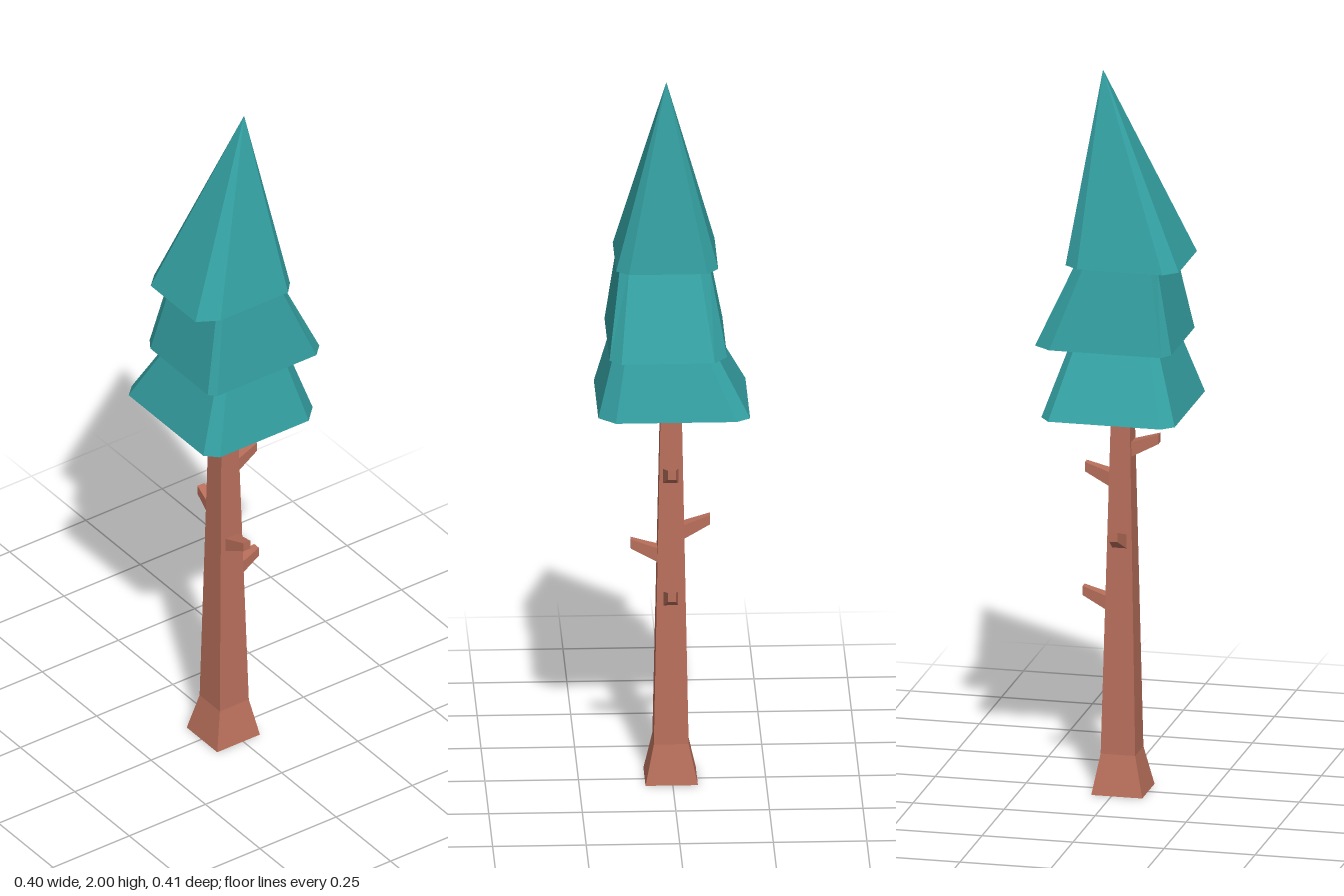
import * as THREE from 'three';

// Skin equal-length rings of [x, y, z] (counter-clockwise seen from the last ring) and cap both ends
function loft(rings) {
  const n = rings[0].length;
  const pos = [];
  const tri = (a, b, c) => pos.push(...a, ...b, ...c);
  for (let r = 0; r < rings.length - 1; r++) {
    const a = rings[r], b = rings[r + 1];
    for (let i = 0; i < n; i++) {
      const j = (i + 1) % n;
      tri(a[i], a[j], b[j]);
      tri(a[i], b[j], b[i]);
    }
  }
  const first = rings[0], last = rings[rings.length - 1];
  for (let i = 1; i < n - 1; i++) {
    tri(first[0], first[i + 1], first[i]);
    tri(last[0], last[i], last[i + 1]);
  }
  const geo = new THREE.BufferGeometry();
  geo.setAttribute('position', new THREE.Float32BufferAttribute(pos, 3));
  geo.computeVertexNormals();
  return geo;
}

// Horizontal rectangle
const rect = (y, x0, x1, z0, z1) => [[x0, y, z0], [x0, y, z1], [x1, y, z1], [x1, y, z0]];

// Remap an outline from its own bounds to new x / z bounds at height y
function fitOutline(outline, y, x0, x1, z0, z1) {
  const xs = outline.map(p => p[0]), zs = outline.map(p => p[1]);
  const map = THREE.MathUtils.mapLinear;
  return outline.map(([x, z]) => [
    map(x, Math.min(...xs), Math.max(...xs), x0, x1), y,
    map(z, Math.min(...zs), Math.max(...zs), z0, z1)]);
}

export function createModel() {
  const tree = new THREE.Group();
  tree.name = 'pineTree';
  const bark = new THREE.MeshStandardMaterial({ color: 0xb96f5b, flatShading: true });
  const needles = new THREE.MeshStandardMaterial({ color: 0x34a0a2, flatShading: true });

  const add = (name, geo, mat) => {
    const mesh = new THREE.Mesh(geo, mat);
    mesh.name = name;
    tree.add(mesh);
    return mesh;
  };

  // Square trunk with a flared foot
  add('trunk', loft([
    rect(0, -0.085, 0.055, -0.067, 0.073),
    rect(0.11, -0.06, 0.035, -0.043, 0.05),
    rect(1.09, -0.04, 0.01, -0.025, 0.03),
  ]), bark);

  // Tapered branch stubs: angle about the trunk, root height, tip reach, tip height
  const cx = -0.014, cz = 0.004;
  const section = (x, y, h, w) => [[x, y - h, w], [x, y - h, -w], [x, y + h, -w], [x, y + h, w]];
  const stubs = [
    [0, 0.51, 0.107, 0.55],
    [0, 0.86, 0.101, 0.896],
    [Math.PI, 0.948, 0.101, 0.986],
    [-Math.PI / 2, 0.628, 0.106, 0.668],
    [Math.PI / 2, 0.692, 0.106, 0.734],
  ];
  stubs.forEach(([angle, y0, reach, y1], i) => {
    const geo = loft([section(0.01, y0, 0.022, 0.023), section(reach, y1, 0.013, 0.011)]);
    const stub = add('branch' + (i + 1), geo, bark);
    stub.position.set(cx, 0, cz);
    stub.rotation.y = angle;
  });

  // Foliage tiers: chamfered [x, z] outlines, narrowing upwards
  const lower = [[-0.2, -0.173], [-0.2, 0.17], [-0.168, 0.202], [0.123, 0.202],
    [0.168, 0.157], [0.168, -0.166], [0.141, -0.203], [-0.168, -0.203]];
  const middle = [[-0.175, -0.108], [-0.175, 0.155], [-0.157, 0.174], [0.168, 0.174],
    [0.2, 0.143], [0.2, -0.106], [0.153, -0.141], [-0.154, -0.141]];
  const upper = [[-0.19, -0.086], [-0.19, 0.12], [-0.132, 0.153], [0.09, 0.153],
    [0.12, 0.12], [0.12, -0.09], [0.082, -0.12], [-0.154, -0.12]];
  const flat = (outline, y) => outline.map(([x, z]) => [x, y, z]);

  add('lowerFoliage', loft([flat(lower, 1.075), fitOutline(lower, 1.256, -0.135, 0.11, -0.107, 0.156)]), needles);
  add('middleFoliage', loft([flat(middle, 1.255), fitOutline(middle, 1.481, -0.128, 0.097, -0.098, 0.143)]), needles);

  // Leaning pointed crown
  const apex = upper.map(() => [0.043, 2, 0.017]);
  add('upperFoliage', loft([flat(upper, 1.48), apex]), needles);

  return tree;
}
